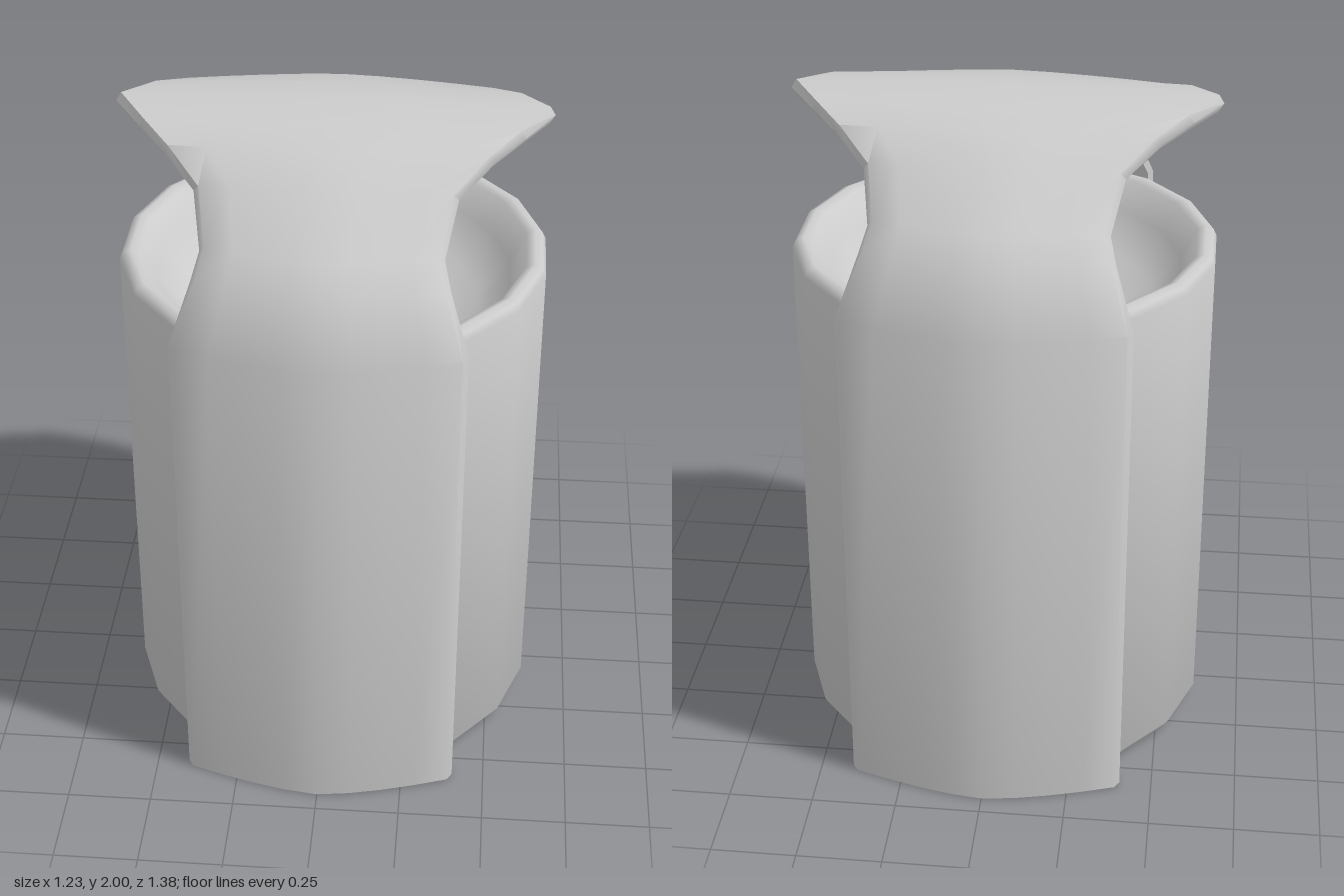
import * as THREE from 'three';
import { toCreasedNormals } from 'three/addons/utils/BufferGeometryUtils.js';

const material = new THREE.MeshStandardMaterial({ color: 0xcccccc, side: THREE.DoubleSide });

function addMesh(group, geometry, name) {
  const mesh = new THREE.Mesh(toCreasedNormals(geometry, 0.9), material);
  mesh.name = name;
  group.add(mesh);
}

// Hollowed canister with bevelled base and rim
function canisterGeometry() {
  const profile = [
    [0, 0.005], [0.565, 0.005], [0.6, 0.017], [0.622, 0.05],
    [0.622, 1.515], [0.612, 1.535], [0.59, 1.545], [0.565, 1.535],
    [0.52, 1.45], [0.43, 1.35], [0.25, 1.29], [0, 1.27],
  ].map(([r, y]) => new THREE.Vector2(r, y));
  return new THREE.LatheGeometry(profile, 18);
}

// Arched strap: a bowed section swept up the front, over the top and down the back
function strapGeometry() {
  // centre z, centre y, edge z, edge y, half width
  const half = [
    [0.69, 0.005, 0.595, 0.005, 0.39],
    [0.69, 1.52, 0.595, 1.52, 0.39],
    [0.595, 1.7, 0.515, 1.69, 0.335],
    [0.53, 1.765, 0.455, 1.76, 0.315],
    [0.36, 1.885, 0.315, 1.87, 0.345],
    [0.25, 1.952, 0.215, 1.94, 0.44],
    [0.13, 1.977, 0.12, 1.972, 0.52],
    [0, 2, 0, 1.99, 0.6],
  ];
  const back = half.slice(0, -1).reverse().map(([z, y, ez, ey, w]) => [-z, y, -ez, ey, w]);
  const stations = [...half, ...back];
  const thickness = 0.05, steps = 8;
  const positions = [], indices = [];

  stations.forEach(([z, y, ez, ey, w], i) => {
    const a = stations[Math.max(i - 1, 0)];
    const b = stations[Math.min(i + 1, stations.length - 1)];
    // end and straight sections keep a horizontal normal
    const straight = y < 1.6;
    const n = straight
      ? new THREE.Vector2(Math.sign(z), 0)
      : new THREE.Vector2(b[1] - a[1], a[0] - b[0]).normalize();
    const point = (u, depth, extra = 0) => {
      const k = Math.pow(Math.abs(u), 1.45);
      positions.push(
        u * (w + extra),
        THREE.MathUtils.lerp(y, ey, k) - n.y * depth,
        THREE.MathUtils.lerp(z, ez, k) - n.x * depth,
      );
    };
    for (let j = 0; j <= steps; j++) point(-1 + (2 * j) / steps, 0);
    point(1, thickness / 2, 0.015);
    for (let j = 0; j <= steps; j++) point(1 - (2 * j) / steps, thickness);
    point(-1, thickness / 2, 0.015);
  });

  const N = 2 * (steps + 2);
  for (let i = 0; i < stations.length - 1; i++) {
    for (let j = 0; j < N; j++) {
      const a = i * N + j, b = i * N + ((j + 1) % N);
      indices.push(a, b, b + N, a, b + N, a + N);
    }
  }
  // feet of the strap
  const last = (stations.length - 1) * N;
  for (const base of [0, last]) {
    for (let j = 0; j < steps; j++) {
      const o = base + j, inner = base + 2 * steps + 2 - j;
      if (base === 0) indices.push(o, inner, o + 1, o + 1, inner, inner - 1);
      else indices.push(o, o + 1, inner, o + 1, inner - 1, inner);
    }
  }
  const geometry = new THREE.BufferGeometry();
  geometry.setAttribute('position', new THREE.Float32BufferAttribute(positions, 3));
  geometry.setIndex(indices);
  geometry.computeVertexNormals();
  return geometry;
}

export function createModel() {
  const group = new THREE.Group();
  group.name = 'strappedCanister';
  addMesh(group, canisterGeometry(), 'canister');
  addMesh(group, strapGeometry(), 'archedStrap');
  return group;
}
